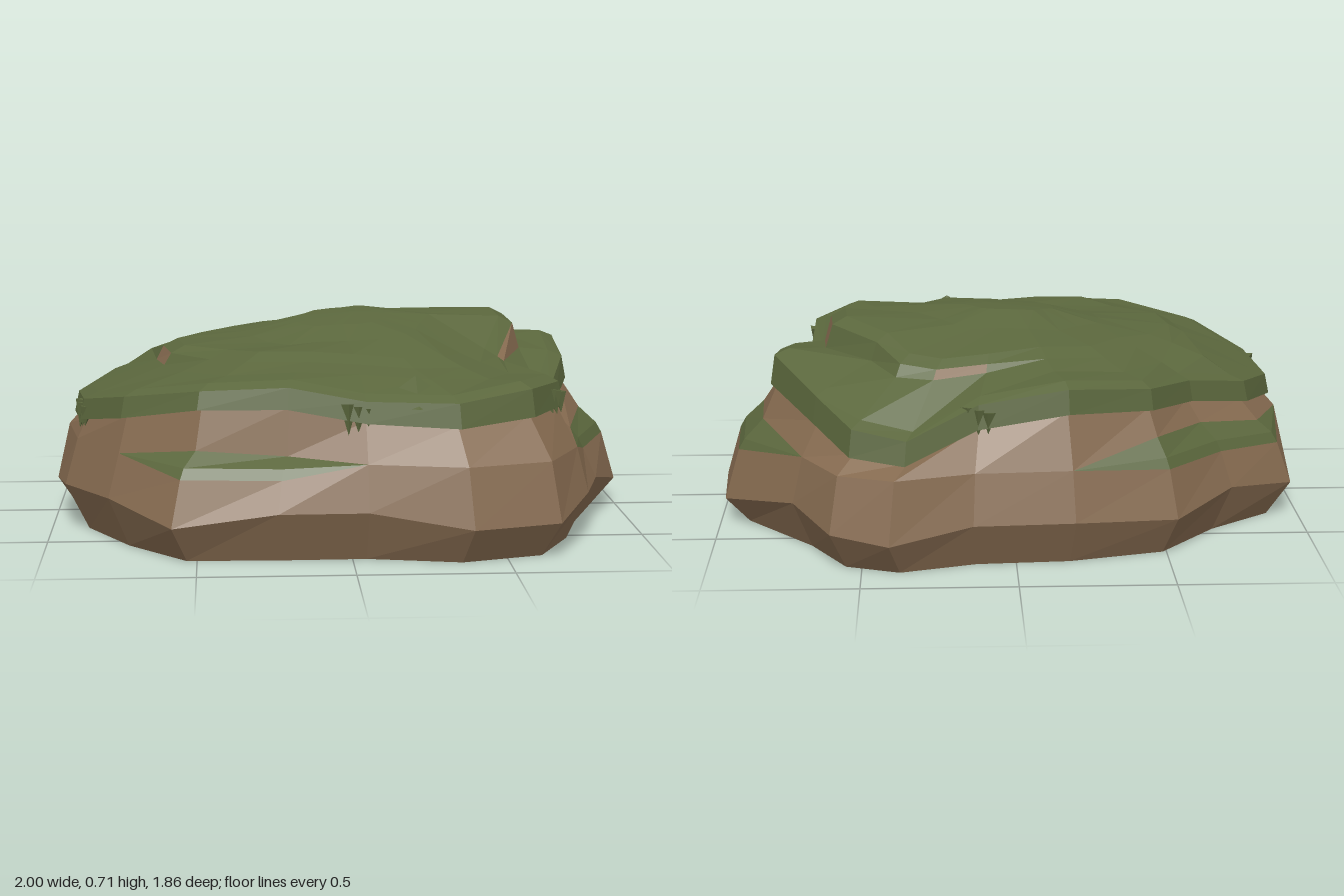
import * as THREE from 'three';

// Plan outline of the boulder: x, z, height of its widest point
const OUTLINE = [
  [-0.97, -0.31, 0.12], [-0.74, -0.49, 0.16], [-0.53, -0.74, 0.13], [-0.19, -0.83, 0.15], [0.14, -0.85, 0.15],
  [0.41, -0.93, 0.11], [0.60, -0.86, 0.13], [0.73, -0.63, 0.165], [0.98, -0.33, 0.09], [1.00, -0.02, 0.09],
  [0.87, 0.33, 0.165], [0.80, 0.58, 0.165], [0.67, 0.84, 0.12], [0.38, 0.93, 0.12], [0.05, 0.86, 0.165],
  [-0.24, 0.865, 0.165], [-0.58, 0.855, 0.12], [-0.79, 0.61, 0.17], [-0.95, 0.32, 0.16], [-1.00, 0.00, 0.12],
];
const N = OUTLINE.length;

// Moss cap, per outline point: edge radius ratio, underside height, rim height
const EDGE = [0.83, 0.81, 0.84, 0.89, 0.86, 0.86, 0.88, 0.89, 0.82, 0.80, 0.82, 0.88, 0.87, 0.89, 0.90, 0.84, 0.84, 0.93, 0.93, 0.92];
const UNDER = [0.40, 0.44, 0.47, 0.49, 0.44, 0.34, 0.36, 0.42, 0.48, 0.46, 0.40, 0.45, 0.45, 0.43, 0.44, 0.48, 0.48, 0.43, 0.38, 0.36];
const RIM = [0.47, 0.51, 0.54, 0.57, 0.52, 0.42, 0.45, 0.51, 0.58, 0.54, 0.46, 0.53, 0.54, 0.51, 0.51, 0.55, 0.54, 0.50, 0.45, 0.43];
// Upper plateau: foot height, edge height
const FOOT = [0.55, 0.56, 0.57, 0.59, 0.58, 0.57, 0.57, 0.59, 0.59, 0.57, 0.555, 0.54, 0.55, 0.56, 0.57, 0.58, 0.57, 0.56, 0.55, 0.54];
const TOP = [0.59, 0.60, 0.60, 0.61, 0.605, 0.60, 0.61, 0.65, 0.67, 0.66, 0.57, 0.57, 0.575, 0.58, 0.59, 0.60, 0.60, 0.59, 0.59, 0.59];
const CLIFF = new Set([4, 5, 6, 7, 8, 9, 10, 18, 19]); // steep plateau sides
const OUTCROP = new Set([4, 8, 9, 18]); // bare rock on those sides

// Mossy shelves, by outline point: front height, back radius ratio, back height
const LEDGE = new Map([
  [0, [0.26, 0.88, 0.335]], [1, [0.28, 0.86, 0.37]], [2, [0.29, 0.88, 0.385]],
  [8, [0.26, 0.865, 0.36]], [9, [0.26, 0.865, 0.355]], [10, [0.265, 0.9, 0.335]],
  [15, [0.265, 0.86, 0.33]], [16, [0.27, 0.865, 0.35]],
]);

const at = (i, ratio, y) => new THREE.Vector3(OUTLINE[i][0] * ratio, y, OUTLINE[i][1] * ratio);
const ring = (fn) => OUTLINE.map((_, i) => fn(i));

// Adds the quads between two rings to the list picked for each column
function band(low, high, pick) {
  for (let i = 0; i < N; i++) {
    const j = (i + 1) % N;
    const list = pick(i, j);
    for (const t of [[low[i], high[i], low[j]], [low[j], high[i], high[j]]]) {
      if (new THREE.Triangle(...t).getArea() > 1e-6) list.push(...t);
    }
  }
}

function facetMesh(name, points, material) {
  const geometry = new THREE.BufferGeometry().setFromPoints(points);
  geometry.computeVertexNormals();
  const mesh = new THREE.Mesh(geometry, material);
  mesh.name = name;
  return mesh;
}

function facetCone(name, radius, height, sides, material) {
  const geometry = new THREE.ConeGeometry(radius, height, sides).toNonIndexed();
  geometry.computeVertexNormals();
  const mesh = new THREE.Mesh(geometry, material);
  mesh.name = name;
  return mesh;
}

export function createModel() {
  const group = new THREE.Group();
  group.name = 'mossyBoulder';
  const rockMat = new THREE.MeshStandardMaterial({ color: 0x866b50 });
  rockMat.name = 'brown rock';
  const mossMat = new THREE.MeshStandardMaterial({ color: 0x5b673d });
  mossMat.name = 'green moss';

  const rock = [], cap = [], shelf = [], outcrop = [];
  const bottom = ring(() => new THREE.Vector3(0, 0, 0));
  const base = ring((i) => at(i, 0.92, 0));
  const belt = ring((i) => at(i, 1, OUTLINE[i][2]));

  // Shelf rings meet in one point where there is no shelf
  const shoulder = ring((i) => (LEDGE.has(i) ? at(i, 0.95, LEDGE.get(i)[0]) : at(i, 0.955, 0.315)));
  const shelfRim = ring((i) => (LEDGE.has(i) ? at(i, 0.93, LEDGE.get(i)[0] + 0.035) : shoulder[i]));
  const shelfBack = ring((i) => (LEDGE.has(i) ? at(i, LEDGE.get(i)[1], LEDGE.get(i)[2]) : shoulder[i]));
  const neck = ring((i) => at(i, EDGE[i] - 0.01, UNDER[i] + 0.005));

  const toRock = () => rock;
  const toShelf = (i, j) => (LEDGE.has(i) || LEDGE.has(j) ? shelf : rock);
  band(bottom, base, toRock);
  band(base, belt, toRock);
  band(belt, shoulder, toRock);
  band(shoulder, shelfRim, toShelf);
  band(shelfRim, shelfBack, toShelf);
  band(shelfBack, neck, toRock);

  // Moss cap: overhanging rim, slope, plateau edge and crown
  const lip = ring((i) => at(i, EDGE[i] + 0.015, UNDER[i]));
  const rim = ring((i) => at(i, EDGE[i], RIM[i]));
  const rimInner = ring((i) => at(i, EDGE[i] - 0.05, RIM[i] + 0.02));
  const foot = ring((i) => at(i, CLIFF.has(i) ? 0.645 : 0.69, FOOT[i]));
  const edge = ring((i) => at(i, CLIFF.has(i) ? 0.62 : 0.58, TOP[i]));
  const brow = ring((i) => at(i, CLIFF.has(i) ? 0.57 : 0.5, TOP[i] + 0.025));
  const crown = ring((i) => at(i, 0.32,
    0.668 + 0.025 * OUTLINE[i][0] - 0.03 * Math.max(0, OUTLINE[i][1]) - (i % 3) * 0.003));
  const summit = ring((i) => at(i, 0.16, 0.69 + 0.01 * OUTLINE[i][0] - 0.015 * OUTLINE[i][1]));
  const peak = ring(() => new THREE.Vector3(0.06, 0.703, -0.02));
  const toCap = () => cap;
  band(neck, lip, toCap);
  band(lip, rim, toCap);
  band(rim, rimInner, toCap);
  band(rimInner, foot, toCap);
  band(foot, edge, (i) => (OUTCROP.has(i) ? outcrop : cap));
  band(edge, brow, toCap);
  band(brow, crown, toCap);
  band(crown, summit, toCap);
  band(summit, peak, toCap);

  group.add(
    facetMesh('rockBody', rock, rockMat),
    facetMesh('mossCap', cap, mossMat),
    facetMesh('mossShelves', shelf, mossMat),
    facetMesh('rockOutcrops', outcrop, rockMat),
  );

  // Raised clump on the front rim
  const clump = facetCone('mossClump', 0.14, 0.09, 5, mossMat);
  clump.position.set(0.21, 0.535, 0.68);
  group.add(clump);

  // Hanging tufts half sunk into the rim: x, y, z
  const tufts = [[0.02, 0.45, 0.765], [0.69, 0.46, 0.54], [-0.885, 0.39, 0.28], [0.12, 0.46, -0.73]];
  for (const [x, y, z] of tufts) {
    const tuft = new THREE.Group();
    tuft.name = 'mossTuft';
    for (let k = -1; k <= 1; k++) {
      const blade = facetCone('mossBlade', 0.028, 0.1 - 0.015 * (k + 1), 4, mossMat);
      blade.rotation.x = Math.PI - 0.15;
      blade.position.x = k * 0.032;
      tuft.add(blade);
    }
    tuft.position.set(x, y, z);
    tuft.rotation.y = Math.atan2(x, z);
    group.add(tuft);
  }
  return group;
}
